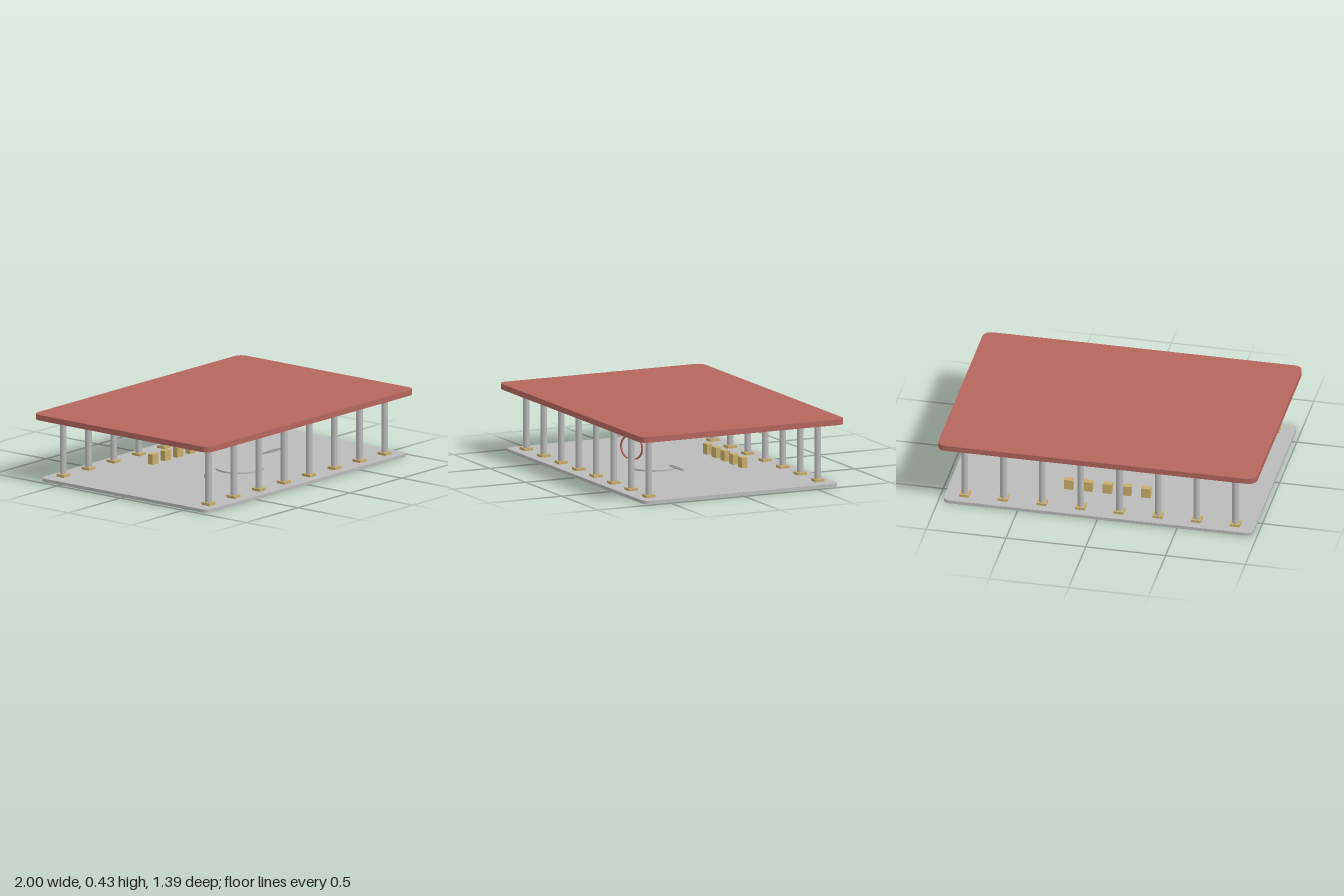
import * as THREE from 'three';

const mat = (name, color) => Object.assign(new THREE.MeshStandardMaterial({ color }), { name });

export function createModel() {
  const red = mat('brick red', 0xb5655d);
  const stone = mat('stone grey', 0xbababa);
  const gold = mat('gold', 0xc9ae6a);
  const steel = mat('steel grey', 0x909090);
  const model = new THREE.Group();

  const add = (name, geometry, material, x, y, z) => {
    const mesh = new THREE.Mesh(geometry, material);
    mesh.name = name;
    mesh.position.set(x, y, z);
    model.add(mesh);
    return mesh;
  };

  // Horizontal slab with rounded corners, its underside at y = 0
  const slab = (w, d, h, r) => {
    const x = w / 2, y = d / 2, s = new THREE.Shape();
    s.moveTo(-x + r, -y);
    s.lineTo(x - r, -y);
    s.quadraticCurveTo(x, -y, x, -y + r);
    s.lineTo(x, y - r);
    s.quadraticCurveTo(x, y, x - r, y);
    s.lineTo(-x + r, y);
    s.quadraticCurveTo(-x, y, -x, y - r);
    s.lineTo(-x, -y + r);
    s.quadraticCurveTo(-x, -y, -x + r, -y);
    return new THREE.ExtrudeGeometry(s, { depth: h, bevelEnabled: false, curveSegments: 4 })
      .rotateX(-Math.PI / 2);
  };

  // Floor and roof
  add('floor', slab(1.94, 1.33, 0.02, 0.05), stone, 0, 0, 0);
  add('roof', slab(2, 1.394, 0.035, 0.06), red, 0, 0.39, 0);

  // Two rows of eight columns on square plinths
  const shaft = new THREE.CylinderGeometry(0.0205, 0.0205, 0.355, 20);
  const plinth = new THREE.BoxGeometry(0.061, 0.016, 0.061);
  for (const z of [-0.577, 0.577]) {
    for (let i = 0; i < 8; i++) {
      const x = -0.848 + i * 0.2423;
      add('columnPlinth', plinth, gold, x, 0.028, z);
      add('columnShaft', shaft, stone, x, 0.2135, z);
    }
  }

  // Row of display blocks near the back
  const block = new THREE.BoxGeometry(0.057, 0.064, 0.037);
  for (let i = -2; i <= 2; i++) add('displayBlock', block, gold, i * 0.121, 0.052, -0.363);

  // Low round platform
  add('roundPlatform', new THREE.CylinderGeometry(0.15, 0.15, 0.01, 40), stone, 0, 0.025, 0.125);

  // Upright ring, turned on its foot, with a thin rod
  const ring = add('uprightRing', new THREE.TorusGeometry(0.078, 0.006, 10, 40), red, -0.305, 0.092, 0.125);
  ring.rotation.y = Math.PI / 6;
  add('ringFoot', new THREE.CylinderGeometry(0.024, 0.024, 0.022, 20), stone, -0.305, 0.031, 0.125);
  add('ringRod', new THREE.CylinderGeometry(0.0015, 0.0015, 0.13, 8), stone, -0.305, 0.105, 0.125);

  // Slim floating board
  const board = add('slimBoard', new THREE.SphereGeometry(1, 24, 12), steel, 0.318, 0.071, 0.124);
  board.scale.set(0.098, 0.005, 0.019);

  return model;
}
